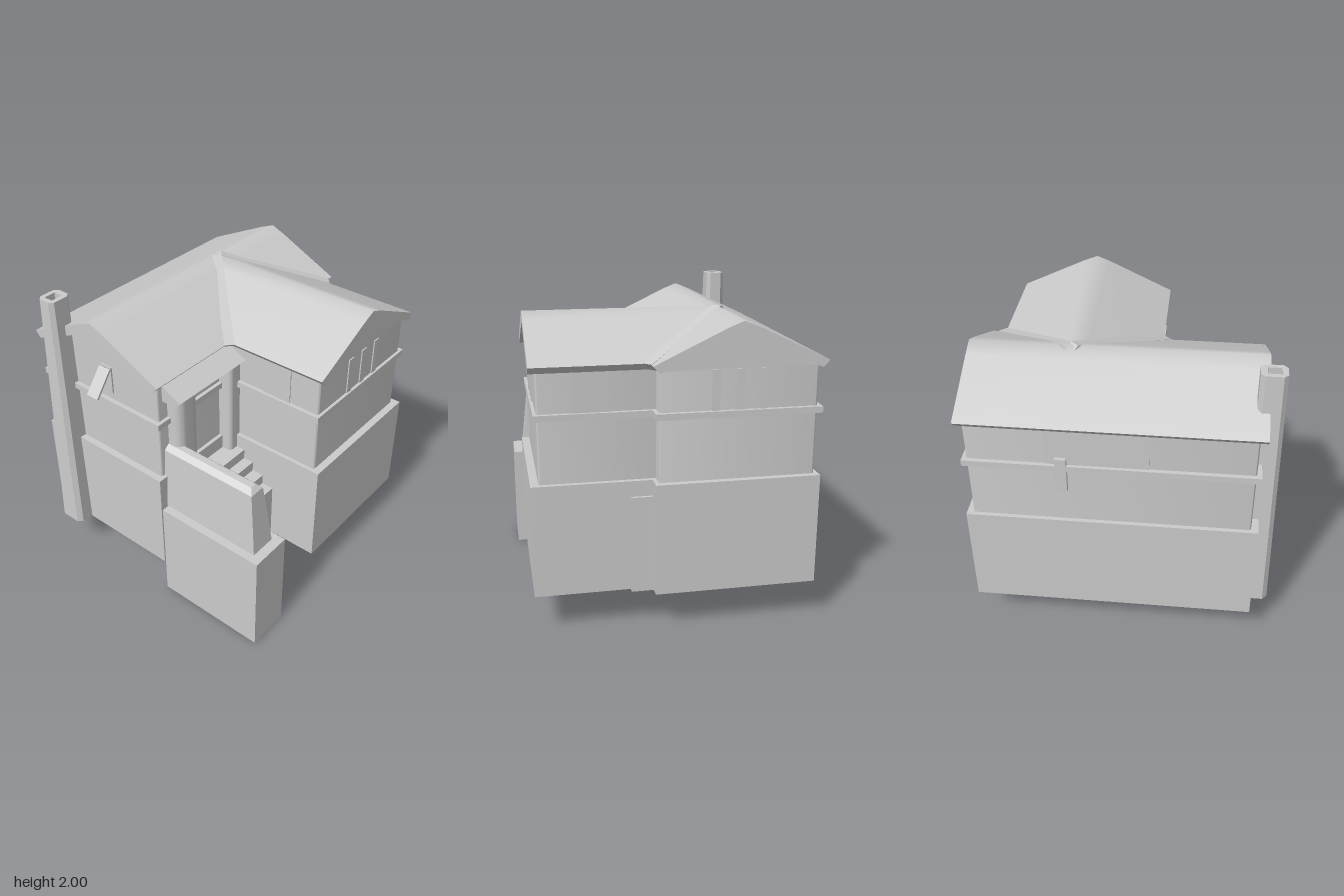
import * as THREE from 'three';
import { toCreasedNormals } from 'three/addons/utils/BufferGeometryUtils.js';
import { ConvexGeometry } from 'three/addons/geometries/ConvexGeometry.js';

const mat = new THREE.MeshStandardMaterial({ color: 0xcccccc, side: THREE.DoubleSide });
const flat = new THREE.MeshStandardMaterial({ color: 0xcccccc, side: THREE.DoubleSide, flatShading: true });
const v = (x, y, z) => new THREE.Vector3(x, y, z);

const RIDGE_X = 0.34, RIDGE_Z = -0.38;

export function createModel() {
  const model = new THREE.Group();
  model.name = 'house';

  const add = (name, geo, material = flat) => {
    const mesh = new THREE.Mesh(geo, material);
    mesh.name = name;
    model.add(mesh);
    return mesh;
  };

  // Box given by its limits; open boxes have no underside
  const box = (name, x0, x1, y0, y1, z0, z1, open = false) => {
    const geo = new THREE.BoxGeometry(x1 - x0, y1 - y0, z1 - z0);
    geo.translate((x0 + x1) / 2, (y0 + y1) / 2, (z0 + z1) / 2);
    if (open) {
      const index = Array.from(geo.index.array);
      index.splice(18, 6);
      geo.setIndex(index);
      geo.clearGroups();
    }
    return add(name, geo);
  };

  // Upright block with rounded vertical corners
  const roundedBlock = (name, x0, x1, y0, y1, z0, z1, r) => {
    const s = new THREE.Shape();
    s.moveTo(x0 + r, -z1);
    s.absarc(x1 - r, -z1 + r, r, -Math.PI / 2, 0);
    s.absarc(x1 - r, -z0 - r, r, 0, Math.PI / 2);
    s.absarc(x0 + r, -z0 - r, r, Math.PI / 2, Math.PI);
    s.absarc(x0 + r, -z1 + r, r, Math.PI, Math.PI * 1.5);
    const geo = new THREE.ExtrudeGeometry(s, { depth: y1 - y0, bevelEnabled: false, curveSegments: 6 });
    geo.rotateX(-Math.PI / 2).translate(0, y0, 0);
    return add(name, toCreasedNormals(geo, 0.6), mat);
  };

  // Section extruded along z, or along x when turned
  const section = (points, length, alongX) => {
    const shape = new THREE.Shape(points.map(p => new THREE.Vector2(...p)));
    const geo = new THREE.ExtrudeGeometry(shape, { depth: length, bevelEnabled: false });
    if (alongX) geo.rotateY(Math.PI / 2);
    return geo;
  };

  // Stone base
  box('mainBase', -0.855, 0.96, 0.25, 0.96, -0.89, 0.13, true);
  box('wingBase', -0.17, 0.855, 0.25, 0.96, 0.1, 0.86, true);

  // Upper walls
  roundedBlock('mainWalls', -0.81, 0.918, 0.96, 1.64, -0.863, 0.105, 0.015);
  roundedBlock('wingWalls', -0.143, 0.823, 0.96, 1.64, 0, 0.81, 0.015);
  const gable = h => [[-h, 1.63], [h, 1.63], [0, 1.86]];
  add('mainGables', section(gable(0.484), 1.728, true).translate(-0.81, 0, RIDGE_Z));
  add('wingGable', section(gable(0.483), 1.19, false).translate(RIDGE_X, 0, RIDGE_Z));

  // String course
  box('mainBand', -0.84, 0.945, 1.35, 1.39, -0.89, 0.13);
  box('wingBand', -0.17, 0.85, 1.35, 1.39, 0, 0.83);

  // Roofs with slanted eaves
  const roof = [[-0.53, 1.675], [-0.49, 1.632], [0, 1.85], [0.49, 1.632], [0.53, 1.675],
    [0.095, 1.882], [0, 1.92], [-0.095, 1.882]];
  add('mainRoof', toCreasedNormals(section(roof, 1.815, true), 0.9).translate(-0.855, 0, RIDGE_Z), mat);
  add('wingRoof', toCreasedNormals(section(roof, 1.23, false), 0.9).translate(RIDGE_X, 0, RIDGE_Z), mat);

  // Strips covering the roof valleys
  for (const side of [-1, 1]) {
    const p = (x, y, z) => v(RIDGE_X + side * x, y, z);
    const top = [p(0.58, 1.678, 0.15), p(0.53, 1.678, 0.195), p(0, 1.927, -0.35), p(0.05, 1.927, -0.4)];
    const under = top.map(q => v(q.x - side * 0.045, q.y - 0.047, q.z - 0.045));
    add('valleyStrip', new ConvexGeometry([...top, ...under]));
  }

  // Narrow gable windows
  for (const d of [-0.147, 0, 0.147]) {
    const x = RIDGE_X + d, z = RIDGE_Z + d;
    box('wingWindow', x - 0.025, x + 0.025, 1.39, 1.635, 0.78, 0.818);
    box('gableWindow', 0.89, 0.926, 1.39, 1.635, z - 0.025, z + 0.025);
  }
  // Window panels on the wing sides and the back
  box('sideWindow', 0.8, 0.83, 1.39, 1.632, 0.39, 0.6);
  box('sideWindow', -0.15, -0.12, 1.39, 1.632, 0.39, 0.6);
  box('backPanel', -0.18, 0.44, 1.39, 1.632, -0.868, -0.84);
  box('backBracket', 0.31, 0.38, 1.2, 1.44, -0.892, -0.85);

  // Propped awning on the right gable
  box('awningWindow', -0.82, -0.8, 1.44, 1.63, -0.36, -0.27);
  const awning = add('awning', new THREE.BoxGeometry(0.014, 0.2, 0.09));
  awning.position.set(-0.885, 1.54, -0.315);
  awning.rotation.z = -0.66;

  // Landing and stair blocks
  box('landing', -0.62, 0.875, 0.24, 0.86, -0.66, 0.265, true);
  for (let i = 0; i < 3; i++) {
    const y = 0.14 - i * 0.07, z = 0.34 + i * 0.085;
    box('step', -0.64, -0.095, y, y + 0.65, z - 0.28, z, true);
  }

  // Stair pier with tapered parapet
  box('stairPier', -0.855, -0.57, 0.01, 0.725, 0.14, 0.905, true);
  const rings = [[0.725, -0.8, -0.62, 0.84], [1.15, -0.77, -0.66, 0.79], [1.18, -0.735, -0.69, 0.76]];
  add('parapet', new ConvexGeometry(rings.flatMap(([y, x0, x1, z]) =>
    [v(x0, y, 0.1), v(x1, y, 0.1), v(x1, y, z), v(x0, y, z)])));

  // Porch
  roundedBlock('porchPillar', -0.73, -0.54, 0.86, 1.54, 0.05, 0.2, 0.06);
  roundedBlock('porchPillar', -0.24, -0.1, 0.86, 1.54, 0.05, 0.2, 0.03);
  const porch = [[-0.25, 1.565], [-0.21, 1.525], [-0.08, 1.525], [-0.08, 1.65]];
  add('porchRoof', section(porch, 0.62, true).translate(-0.77, 0, 0));

  // Chimney: lofted chamfered rectangles with a flue sunk in the top
  const ring = ([y, x0, x1, z0, z1, c]) => [
    [x1, z0 + c], [x1, z1 - c], [x1 - c, z1], [x0 + c, z1],
    [x0, z1 - c], [x0, z0 + c], [x0 + c, z0], [x1 - c, z0],
  ].flatMap(([x, z]) => [x, y, z]);
  const levels = [
    [0.26, -0.97, -0.78, -0.775, -0.58, 0.03],
    [2, -0.935, -0.78, -0.74, -0.615, 0.025],
    [2, -0.9, -0.82, -0.71, -0.645, 0.004],
    [1.9, -0.9, -0.82, -0.71, -0.645, 0.004],
  ];
  const index = [];
  for (let l = 0; l < levels.length - 1; l++) {
    for (let i = 0; i < 8; i++) {
      const a = l * 8 + i, b = l * 8 + (i + 1) % 8;
      index.push(a, a + 8, b + 8, a, b + 8, b);
    }
  }
  for (let i = 1; i < 7; i++) index.push(24, 24 + i + 1, 24 + i);
  const chimney = new THREE.BufferGeometry();
  chimney.setAttribute('position', new THREE.Float32BufferAttribute(levels.flatMap(ring), 3));
  chimney.setIndex(index);
  chimney.computeVertexNormals();
  add('chimney', chimney);

  return model;
}
